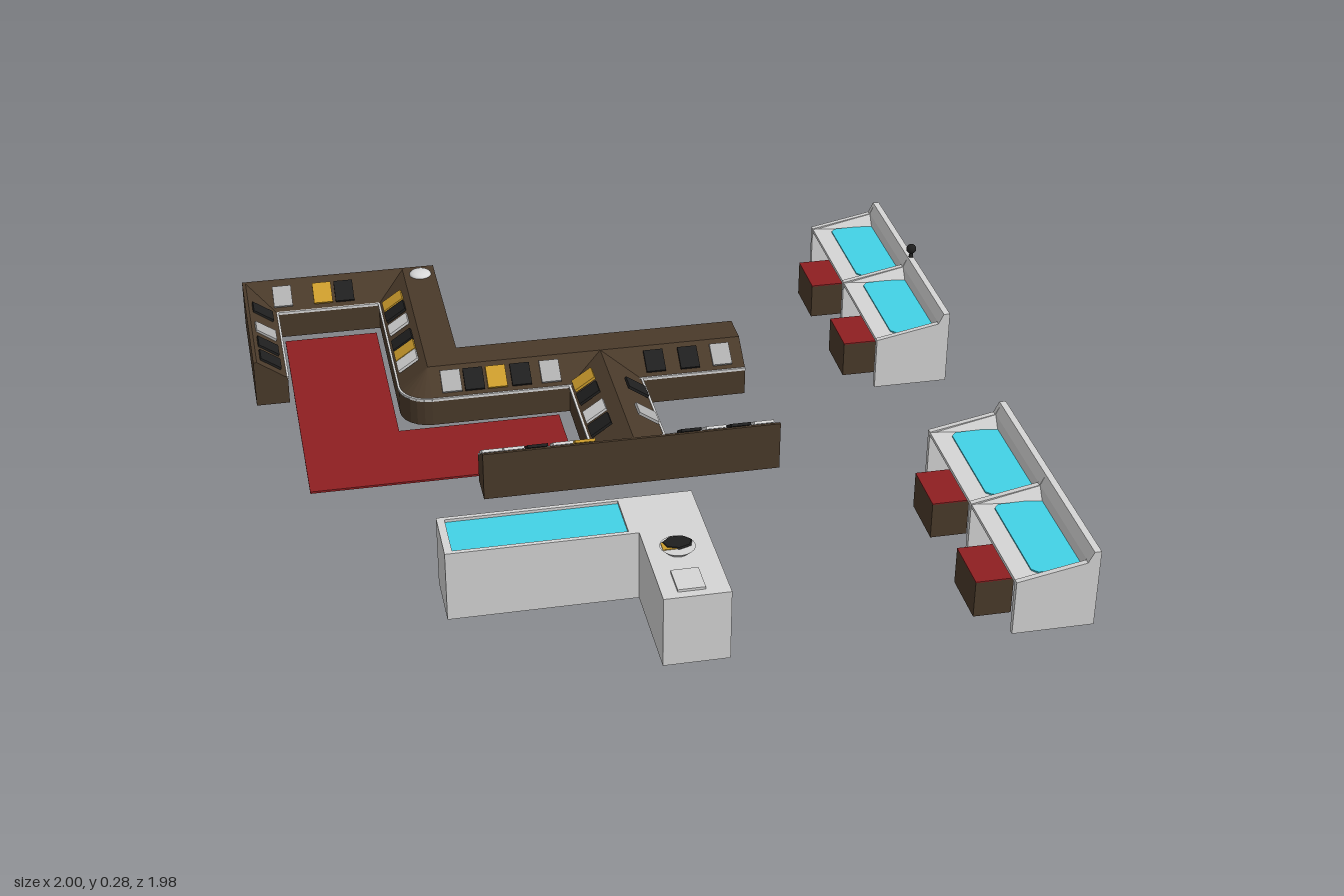
import * as THREE from 'three';
import { ConvexGeometry } from 'three/addons/geometries/ConvexGeometry.js';

const mat = (name, color, side = THREE.FrontSide) => {
  const m = new THREE.MeshStandardMaterial({ color, side });
  m.name = name;
  return m;
};

export function createModel() {
  const root = new THREE.Group();
  root.name = 'showroomFurniture';
  const brown = mat('darkBrownWood', 0x4a3a2a, THREE.DoubleSide);
  const grey = mat('counterGrey', 0xd5d5d5, THREE.DoubleSide);
  const teal = mat('tealGlass', 0x42d2e6);
  const red = mat('deepRed', 0x8e1f21);
  const black = mat('black', 0x1f1f1f);
  const yellow = mat('mustard', 0xcc9c2c);
  const white = mat('offWhite', 0xd8d8d8);
  const mid = mat('midGrey', 0xb0b0b0);

  const add = (name, geo, m, parent = root) => {
    const mesh = new THREE.Mesh(geo, m);
    mesh.name = name;
    parent.add(mesh);
    return mesh;
  };
  // box from its limits on each axis
  const box = (name, x0, x1, y0, y1, z0, z1, m, parent) => {
    const mesh = add(name, new THREE.BoxGeometry(x1 - x0, y1 - y0, z1 - z0), m, parent);
    mesh.position.set((x0 + x1) / 2, (y0 + y1) / 2, (z0 + z1) / 2);
  };
  // outline in (x, z) raised from y0 to y1, with an optional hole wound the same way
  const slab = (name, pts, y0, y1, m, hole, parent) => {
    const flip = (a) => a.map(([x, z]) => new THREE.Vector2(x, -z));
    const s = new THREE.Shape(flip(pts));
    if (hole) s.holes.push(new THREE.Path(flip(hole).reverse()));
    const g = new THREE.ExtrudeGeometry(s, { depth: y1 - y0, bevelEnabled: false });
    add(name, g.rotateX(-Math.PI / 2).translate(0, y0, 0), m, parent);
  };
  const rect = (x0, x1, z0, z1) => [[x0, z0], [x1, z0], [x1, z1], [x0, z1]];

  // ---- sloping display racks, open below ----
  const FLOOR = 0.015, TOP = 0.157, EDGE = 0.097;
  // loft through cross-sections, capped at both ends
  const loft = (name, sections) => {
    const n = sections[0].length, pos = [];
    const tri = (...v) => v.forEach((p) => pos.push(...p));
    for (let i = 0; i + 1 < sections.length; i++) {
      const a = sections[i], b = sections[i + 1];
      for (let j = 0; j + 1 < n; j++) {
        tri(a[j], b[j], b[j + 1]);
        tri(a[j], b[j + 1], a[j + 1]);
      }
    }
    const first = sections[0], last = sections[sections.length - 1];
    for (let j = 1; j + 1 < n; j++) {
      tri(first[0], first[j], first[j + 1]);
      tri(last[0], last[j + 1], last[j]);
    }
    const g = new THREE.BufferGeometry();
    g.setAttribute('position', new THREE.Float32BufferAttribute(pos, 3));
    g.computeVertexNormals();
    add(name, g, brown);
  };
  // pale lip along the lower edge of a slope
  const lip = (pts) => {
    for (let i = 0; i + 1 < pts.length; i++) {
      const [x0, z0] = pts[i], [x1, z1] = pts[i + 1];
      const l = Math.hypot(x1 - x0, z1 - z0);
      const t = add('shelfLip', new THREE.BoxGeometry(l, 0.008, 0.006), white);
      t.position.set((x0 + x1) / 2, EDGE, (z0 + z1) / 2);
      t.rotation.y = -Math.atan2(z1 - z0, x1 - x0);
    }
  };
  // each section: outer wall, ridge and inner edge as (x, z)
  const rack = (name, rows) => {
    loft(name, rows.map(([o, r, i]) => [
      [o[0], FLOOR, o[1]], [o[0], TOP, o[1]], [r[0], TOP, r[1]],
      [i[0], EDGE, i[1]], [i[0], FLOOR, i[1]],
    ]));
    lip(rows.map((r) => r[2]));
  };
  const bend = [];
  for (let i = 0; i <= 6; i++) {
    const a = (i / 6) * Math.PI / 2;
    bend.push([[-0.42, -0.47], [-0.515, -0.375],
      [-0.515 - 0.085 * Math.cos(a), -0.375 + 0.085 * Math.sin(a)]]);
  }
  rack('windingRack', [
    [[-1, -0.495], [-0.99, -0.495], [-0.905, -0.495]],
    [[-1, -0.99], [-0.99, -0.98], [-0.905, -0.885]],
    [[-0.42, -0.99], [-0.515, -0.98], [-0.6, -0.885]],
    ...bend,
    [[0.395, -0.47], [0.395, -0.375], [0.395, -0.29]],
  ]);
  rack('frontRack', [0.395, -0.43].map((x) => [[x, 0.122], [x, 0.114], [x, 0.025]]));
  loft('spineRack', [-0.38, 0.115].map((z) => [
    [-0.12, FLOOR, z], [-0.12, EDGE, z], [-0.015, TOP, z], [0.09, EDGE, z], [0.09, FLOOR, z],
  ]));
  lip([[-0.12, -0.29], [-0.12, 0.025]]);
  lip([[0.09, -0.29], [0.09, 0.025]]);

  // ---- goods resting on the slopes: [position along row, colour] ----
  const goods = (axis, across, turn, list) => list.forEach(([p, m]) => {
    const g = new THREE.Group();
    g.name = 'displayItem';
    g.position.set(axis === 'x' ? p : across, 0.132, axis === 'x' ? across : p);
    g.rotation.y = turn;
    add('displayCase', new THREE.BoxGeometry(0.056, 0.008, 0.068), m, g).rotation.x = 0.6;
    root.add(g);
  });
  const Q = Math.PI / 2;
  goods('z', -0.95, Q, [[-0.84, black], [-0.72, mid], [-0.63, black], [-0.55, black]]);
  goods('x', -0.925, 0, [[-0.885, mid], [-0.765, yellow], [-0.7, black]]);
  goods('z', -0.563, -Q, [[-0.83, yellow], [-0.765, black], [-0.685, white],
    [-0.59, black], [-0.525, yellow], [-0.465, white]]);
  goods('x', -0.327, 0, [[-0.455, mid], [-0.39, black], [-0.325, yellow], [-0.255, black],
    [-0.17, mid], [0.135, black], [0.235, black], [0.33, mid]]);
  goods('z', -0.085, -Q, [[-0.26, yellow], [-0.185, black], [-0.085, white], [-0.01, black]]);
  goods('z', 0.055, Q, [[-0.19, black], [-0.045, mid]]);
  goods('x', 0.067, Math.PI, [[-0.4, white], [-0.34, white], [-0.275, black], [-0.205, white],
    [-0.145, yellow], [0.15, black], [0.22, white], [0.29, black], [0.355, white]]);

  // pale dome on the rack corner
  const dome = add('dome', new THREE.SphereGeometry(0.033, 24, 8, 0, Math.PI * 2, 0, Q), white);
  dome.scale.y = 0.4;
  dome.position.set(-0.465, TOP, -0.94);

  // ---- carpet ----
  slab('carpet', [[-0.89, -0.85], [-0.615, -0.85], [-0.615, -0.27], [-0.155, -0.27],
    [-0.155, 0], [-0.89, 0]], 0.013, 0.019, red);

  // ---- L-shaped counter, open below ----
  const ell = (d) => [[-0.605 + d, 0.52 + d], [0.055 - d, 0.52 + d], [0.055 - d, 0.978 - d],
    [-0.115 + d, 0.978 - d], [-0.115 + d, 0.685 - d], [-0.605 + d, 0.685 - d]];
  const well = rect(-0.585, -0.14, 0.532, 0.673);
  slab('counterWalls', ell(0), 0.037, 0.222, grey, ell(0.006));
  slab('counterTop', ell(0), 0.222, 0.235, grey, well);
  slab('counterGlass', well, 0.22, 0.227, teal);
  // note pad, and a shallow dish with its contents
  box('notePad', -0.075, -0.005, 0.235, 0.242, 0.87, 0.955, grey);
  const dish = add('dish', new THREE.CylinderGeometry(0.045, 0.028, 0.016, 20), grey);
  dish.position.set(-0.038, 0.243, 0.782);
  const lump = add('dishContents', new THREE.CylinderGeometry(0.036, 0.04, 0.004, 7), black);
  lump.position.set(-0.036, 0.253, 0.77);
  lump.scale.z = 0.75;
  box('dishCard', -0.078, -0.03, 0.25, 0.253, 0.765, 0.797, yellow);

  // ---- desks with stools ----
  const side = [[0.775, 0.015], [0.99, 0.015], [0.99, 0.235], [0.972, 0.235],
    [0.957, 0.205], [0.775, 0.17]];
  const board = [[0.959, 0.162], [0.99, 0.162], [0.99, 0.235], [0.972, 0.235], [0.959, 0.205]];
  const across = (name, pts, z0, z1, parent) => {
    const s = new THREE.Shape(pts.map(([x, y]) => new THREE.Vector2(x, y)));
    const g = new THREE.ExtrudeGeometry(s, { depth: z1 - z0, bevelEnabled: false });
    add(name, g.translate(0, 0, z0), grey, parent);
  };
  // sloping cheek between a panel and the desk top
  const cheek = (z, d, parent) => add('deskCheek', new ConvexGeometry([
    new THREE.Vector3(0.785, 0.167, z), new THREE.Vector3(0.96, 0.204, z),
    new THREE.Vector3(0.96, 0.167, z), new THREE.Vector3(0.96, 0.167, z + d),
  ]), grey, parent);
  for (const c of [-0.62, 0.62]) {
    const desk = new THREE.Group();
    desk.name = 'desk';
    desk.position.z = c;
    root.add(desk);
    for (const z of [-0.37, -0.0075, 0.355]) across('deskPanel', side, z, z + 0.015, desk);
    across('backBoard', board, -0.365, 0.365, desk);
    box('deskTop', 0.776, 0.985, 0.158, 0.168, -0.365, 0.365, grey, desk);
    for (const s of [-1, 1]) {
      const z = s * 0.181;
      slab('deskGlass', [[0.842, z - 0.157], [0.96, z - 0.157], [0.96, z + 0.157],
        [0.842, z + 0.157], [0.828, z + 0.142], [0.828, z - 0.142]], 0.166, 0.172, teal, null, desk);
      cheek(s * 0.355, -s * 0.028, desk);
      cheek(s * 0.0075, s * 0.028, desk);
      const k = s * 0.183, a = k - 0.078, b = k + 0.078;
      slab('stoolSides', rect(0.71, 0.81, a, b), 0, 0.1, brown,
        rect(0.712, 0.808, a + 0.002, b - 0.002), desk);
      box('stoolTop', 0.71, 0.81, 0.1, 0.103, a, b, brown, desk);
      box('stoolSeat', 0.71, 0.81, 0.103, 0.106, a, b, red, desk);
    }
  }
  // small black lamp on the rear desk
  const stem = add('lampStem', new THREE.CylinderGeometry(0.004, 0.007, 0.025, 8), black);
  stem.position.set(0.982, 0.246, -0.615);
  const head = add('lampHead', new THREE.SphereGeometry(0.015, 12, 8), black);
  head.position.set(0.982, 0.262, -0.615);

  return root;
}
